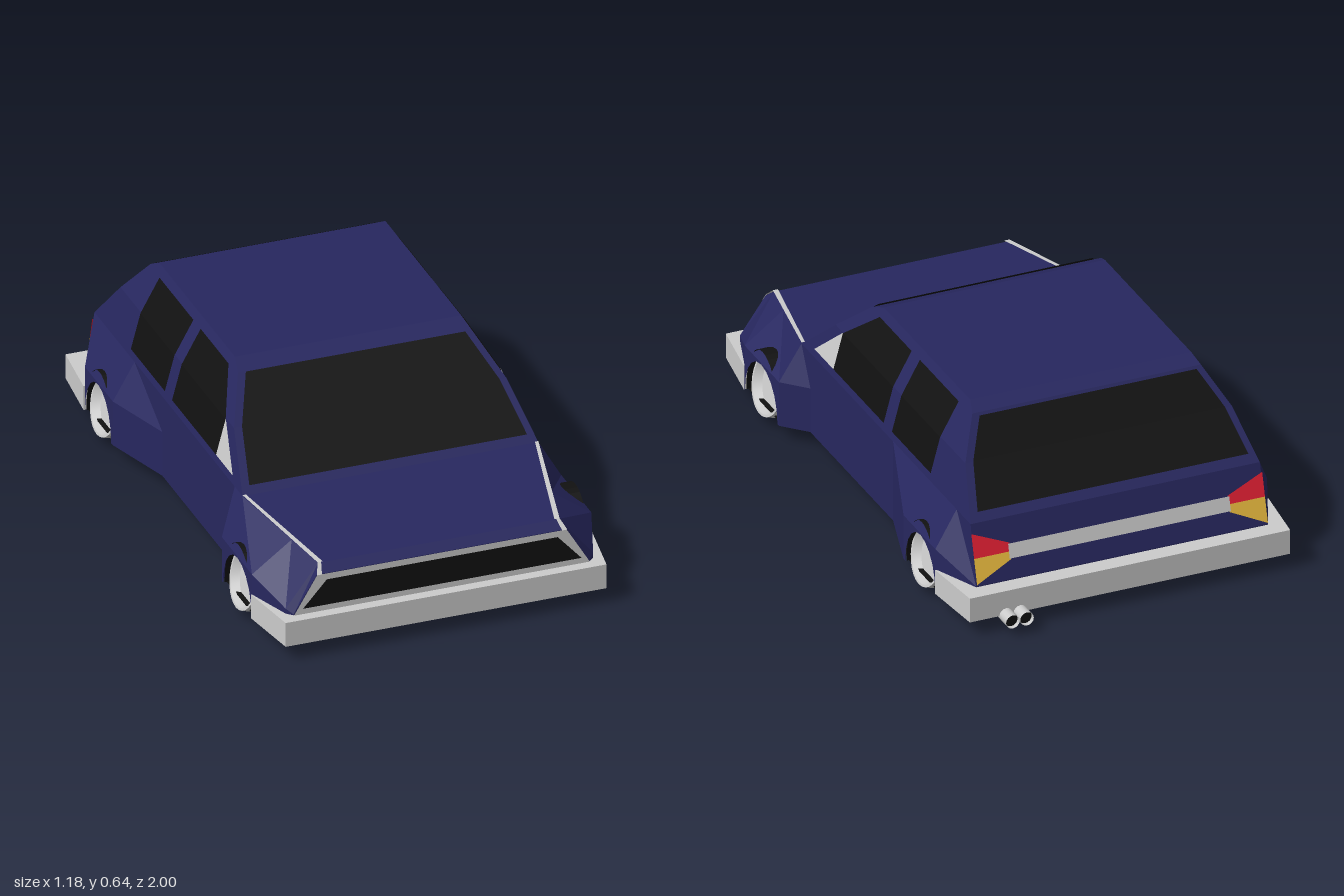
import * as THREE from 'three';
import { toCreasedNormals } from 'three/addons/utils/BufferGeometryUtils.js';

const material = (color) => new THREE.MeshStandardMaterial({ color, flatShading: true, side: THREE.DoubleSide });
const NAVY = material(0x27275f), BLACK = material(0x111111), GREY = material(0xcccccc);
const RED = material(0xe82035), AMBER = material(0xf0c040);
const SMOOTH = new THREE.MeshStandardMaterial({ color: 0xcccccc, side: THREE.DoubleSide });
const lerp = THREE.MathUtils.lerp;

function add(parent, name, geometry, mat) {
  const m = new THREE.Mesh(geometry, mat);
  m.name = name;
  parent.add(m);
  return m;
}

// Flat-shaded surface from a list of four-cornered faces
function quads(faces) {
  const pos = faces.flatMap(([a, b, c, d]) => [a, b, c, a, c, d].flat());
  const g = new THREE.BufferGeometry();
  g.setAttribute('position', new THREE.Float32BufferAttribute(pos, 3));
  g.computeVertexNormals();
  return g;
}

// Horizontal slab from one half of its plan outline [x, z], mirrored in x
function slab(half, y0, y1) {
  const full = [...half, ...half.map(([x, z]) => [-x, z]).reverse()];
  const shape = new THREE.Shape(full.map(([x, z]) => new THREE.Vector2(x, -z)));
  const g = new THREE.ExtrudeGeometry(shape, { depth: y1 - y0, bevelEnabled: false });
  return g.rotateX(-Math.PI / 2).translate(0, y0, 0);
}

// Cabin levels: height, half width, front z, rear z
const LEVELS = [
  [0.35, 0.51, 0.5, -0.83], [0.5, 0.47, 0.32, -0.7],
  [0.62, 0.403, 0.18, -0.605], [0.645, 0.39, 0.12, -0.56],
];
function cabin(y) {
  let i = 0;
  while (i < 2 && y > LEVELS[i + 1][0]) i++;
  const a = LEVELS[i], b = LEVELS[i + 1], t = (y - a[0]) / (b[0] - a[0]);
  return { x: lerp(a[1], b[1], t), front: lerp(a[2], b[2], t), rear: lerp(a[3], b[3], t) };
}

// Lower body stations: z, outer x, outer y, top x, top y, top z
const STATIONS = [
  [0.96, 0.51, 0.15, 0.43, 0.28, 0.96],
  [0.94, 0.53, 0.165, 0.415, 0.305, 0.93],
  [0.78, 0.585, 0.22, 0.448, 0.321, 0.78],
  [0.51, 0.585, 0.22, 0.51, 0.35, 0.5],
  [0.43, 0.51, 0.22, 0.51, 0.35, 0.43],
  [-0.22, 0.51, 0.22, 0.51, 0.35, -0.22],
  [-0.47, 0.585, 0.22, 0.51, 0.35, -0.47],
  [-0.72, 0.585, 0.22, 0.51, 0.35, -0.72],
  [-0.885, 0.515, 0.15, 0.51, 0.35, -0.83],
];
const ARCHES = [{ span: 2, z: 0.65, r: 0.128 }, { span: 6, z: -0.602, r: 0.118 }];

function buildBody(car) {
  const rings = STATIONS.map(([z, xo, yo, xt, yt, zt]) => [
    [-xo, 0.06, z], [-xo, yo, z], [-xt, yt, zt], [xt, yt, zt], [xo, yo, z], [xo, 0.06, z],
  ]);
  const faces = [];
  for (let i = 0; i < rings.length - 1; i++) {
    for (let k = 0; k < 5; k++) {
      const open = (k === 0 || k === 4) && ARCHES.some((a) => a.span === i);
      if (!open) faces.push([rings[i][k], rings[i + 1][k], rings[i + 1][k + 1], rings[i][k + 1]]);
    }
  }
  for (const [r, flip] of [[rings[0], false], [rings[rings.length - 1], true]]) {
    const ends = [[r[0], r[5], r[4], r[1]], [r[1], r[4], r[3], r[2]]];
    faces.push(...ends.map((q) => (flip ? q.reverse() : q)));
  }
  add(car, 'lowerBody', quads(faces), NAVY);

  // Cabin shell and roof
  const levels = LEVELS.map(([y, x, f, b]) => [[-x, y, f], [x, y, f], [x, y, b], [-x, y, b]]);
  const shell = [levels[3]];
  for (let i = 0; i < 3; i++) {
    for (let k = 0; k < 4; k++) {
      const n = (k + 1) % 4;
      shell.push([levels[i][k], levels[i][n], levels[i + 1][n], levels[i + 1][k]]);
    }
  }
  add(car, 'cabin', quads(shell), NAVY);

  add(car, 'underside', slab([
    [0.54, 0.985], [0.57, 0.78], [0.57, 0.51], [0.505, 0.43],
    [0.505, -0.22], [0.57, -0.47], [0.57, -0.75], [0.55, -0.935],
  ], 0.056, 0.062), BLACK);
  add(car, 'frontBumper', slab([[0.553, 1], [0.588, 0.78]], 0.06, 0.147), GREY);
  add(car, 'rearBumper', slab([[0.588, -0.725], [0.565, -0.947]], 0.06, 0.147), GREY);
}

function buildGlass(car) {
  const E = 0.004;
  // Windscreen and rear window follow the bend of the cabin
  for (const [name, end, heights, dir] of [
    ['windscreen', 'front', [0.37, 0.5, 0.618], 1], ['rearWindow', 'rear', [0.375, 0.5, 0.61], -1],
  ]) {
    const rows = heights.map((y) => {
      const c = cabin(y), x = c.x - 0.026, z = c[end] + dir * E;
      return [[-dir * x, y + E, z], [dir * x, y + E, z]];
    });
    add(car, name, quads([0, 1].map((i) => [rows[i][0], rows[i][1], rows[i + 1][1], rows[i + 1][0]])), BLACK);
  }
  // Side windows: rows of height, front z, rear z
  const panes = [
    ['frontSideWindow', [[0.375, 0.255, -0.14], [0.5, 0.255, -0.14], [0.617, 0.11, -0.14]], BLACK],
    ['rearSideWindow', [[0.375, -0.205, -0.51], [0.5, -0.205, -0.51], [0.617, -0.205, -0.51]], BLACK],
    ['quarterPanel', [[0.375, 0.405, 0.255], [0.5, 0.257, 0.255]], GREY],
  ];
  for (const s of [1, -1]) {
    for (const [name, rows, mat] of panes) {
      const pts = rows.map(([y, f, b]) => [f, b].map((z) => [s * (cabin(y).x + E), y + 0.002, z]));
      const faces = pts.slice(1).map((p, i) => [pts[i][0], pts[i][1], p[1], p[0]]);
      add(car, name, quads(s > 0 ? faces : faces.map((q) => q.reverse())), mat);
    }
  }
}

function buildTrim(car) {
  // Grille with its surround
  const panel = (x0, y0, x1, y1, z) => quads([[[-x0, y0, z], [x0, y0, z], [x1, y1, z], [-x1, y1, z]]]);
  add(car, 'grilleSurround', panel(0.51, 0.147, 0.43, 0.28, 0.963), GREY);
  add(car, 'grille', panel(0.48, 0.168, 0.398, 0.26, 0.966), BLACK);

  // Tail trim lies on the sloping rear face
  const tail = (x, y) => [x, y, -0.834 - (0.35 - y) * 0.275];
  add(car, 'tailStrip', quads([[tail(0.39, 0.217), tail(-0.39, 0.217), tail(-0.39, 0.265), tail(0.39, 0.265)]]), GREY);
  for (const s of [1, -1]) {
    const lamp = (o0, o1, i0, i1) => {
      const q = [tail(s * 0.513, o0), tail(s * 0.385, i0), tail(s * 0.385, i1), tail(s * 0.513, o1)];
      return quads([s > 0 ? q : q.reverse()]);
    };
    add(car, 'tailLamp', lamp(0.24, 0.32, 0.24, 0.268), RED);
    add(car, 'turnLamp', lamp(0.155, 0.24, 0.215, 0.24), AMBER);
    // Bonnet edge strip turning down at the nose
    const a = [[0.51, 0.354, 0.5], [0.417, 0.309, 0.933], [0.432, 0.28, 0.964]];
    const strip = [0, 1].map((i) => {
      const [p, q] = [a[i], a[i + 1]].map(([x, y, z]) => [s * x, y, z]);
      return [p, q, [q[0] - s * 0.018, q[1], q[2]], [p[0] - s * 0.012, p[1], p[2]]];
    });
    add(car, 'bonnetStrip', quads(s > 0 ? strip.map((f) => f.reverse()) : strip), GREY);
  }

  // Twin exhaust
  for (const x of [0.387, 0.437]) {
    const pipe = new THREE.CylinderGeometry(0.024, 0.024, 0.16, 16, 1, true).rotateX(Math.PI / 2);
    add(car, 'exhaustPipe', pipe.translate(x, 0.06, -0.92), SMOOTH);
    const bore = new THREE.CircleGeometry(0.023, 16).rotateY(Math.PI);
    add(car, 'exhaustBore', bore.translate(x, 0.06, -0.985), BLACK);
  }
}

function buildWheels(car) {
  const profile = [[0.1, -0.057], [0.11, -0.05], [0.11, 0.057], [0.102, 0.057], [0.087, 0.03], [0, 0.03]];
  const wheelGeo = toCreasedNormals(
    new THREE.LatheGeometry(profile.map(([x, y]) => new THREE.Vector2(x, y)), 28), 0.6);
  const backGeo = new THREE.CircleGeometry(0.1, 28).rotateX(Math.PI / 2).translate(0, -0.057, 0);

  for (const { span, z, r } of ARCHES) {
    const z0 = STATIONS[span + 1][0], z1 = STATIONS[span][0];
    // Fender side with the arch cut out of it
    const shape = new THREE.Shape();
    shape.moveTo(z0, 0.06);
    shape.lineTo(z0, 0.22);
    shape.lineTo(z1, 0.22);
    shape.lineTo(z1, 0.06);
    for (let i = 0; i <= 10; i++) {
      const t = (i / 10) * Math.PI;
      shape.lineTo(THREE.MathUtils.clamp(z + r * Math.cos(t), z0, z1), 0.06 + 0.155 * Math.sin(t));
    }
    const fenderGeo = new THREE.ShapeGeometry(shape).rotateY(-Math.PI / 2);
    const linerGeo = new THREE.CylinderGeometry(1, 1, 0.19, 20, 1, true, 0, Math.PI)
      .rotateZ(Math.PI / 2).rotateX(-Math.PI / 2);
    linerGeo.computeBoundingBox();
    if (linerGeo.boundingBox.min.y < -0.5) linerGeo.rotateX(linerGeo.boundingBox.max.y > 0.5 ? Math.PI / 2 : Math.PI);
    linerGeo.scale(1, 0.2, r);

    for (const s of [1, -1]) {
      add(car, 'fenderSide', fenderGeo, NAVY).position.x = s * 0.585;
      add(car, 'archLiner', linerGeo, BLACK).position.set(s * 0.485, 0.06, z);
      const wall = add(car, 'archWall', new THREE.PlaneGeometry(0.25, 0.16).rotateY(s * Math.PI / 2), BLACK);
      wall.position.set(s * 0.4, 0.14, z);
      // Cambered wheel, its foot set outwards
      const wheel = new THREE.Group();
      wheel.name = 'wheel';
      add(wheel, 'rim', wheelGeo, SMOOTH);
      add(wheel, 'wheelBack', backGeo, BLACK);
      wheel.rotation.z = -s * (Math.PI / 2 - 0.265);
      wheel.position.set(s * 0.507, 0.126, z);
      car.add(wheel);
    }
  }
}

export function createModel() {
  const car = new THREE.Group();
  car.name = 'car';
  buildBody(car);
  buildGlass(car);
  buildTrim(car);
  buildWheels(car);
  return car;
}
